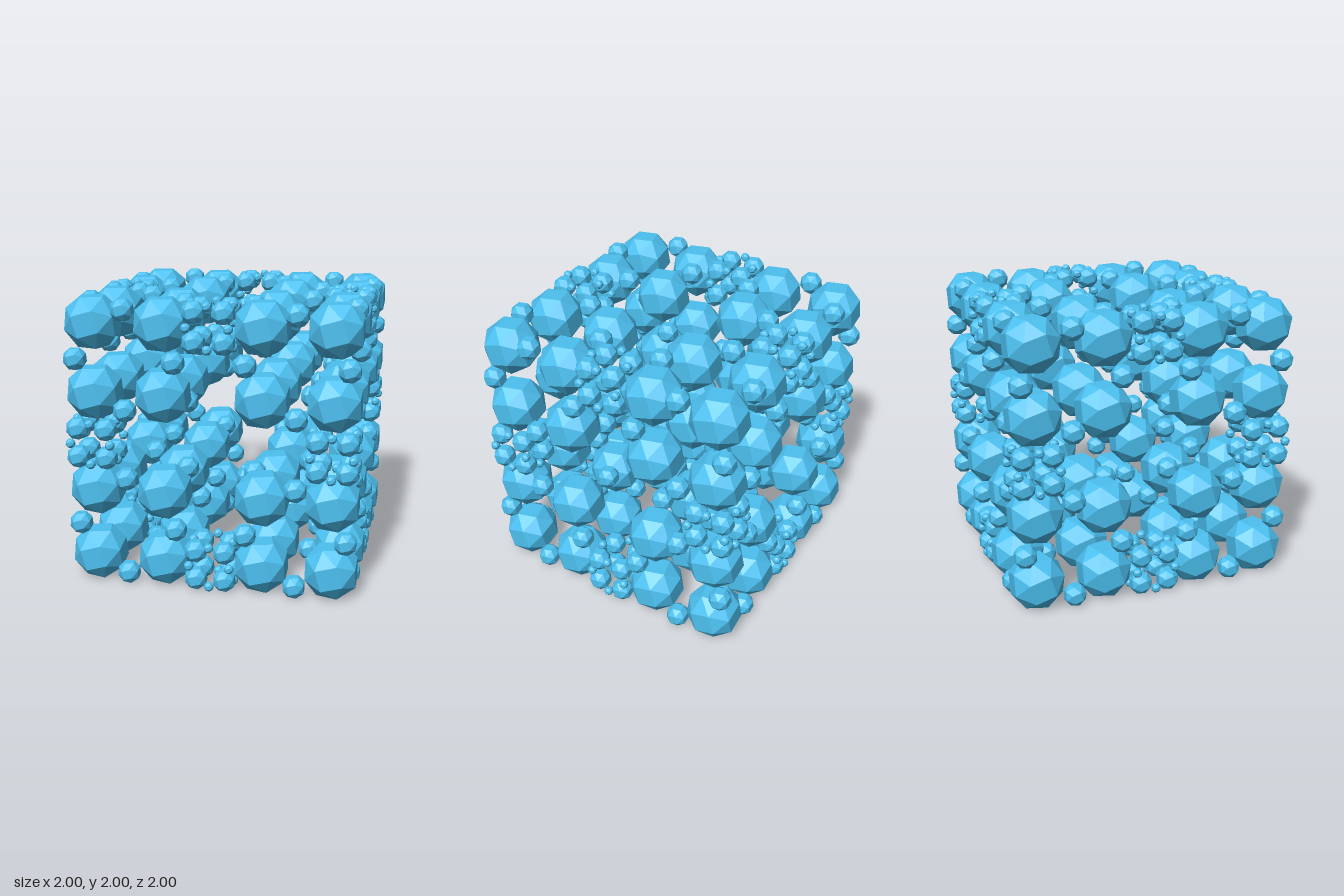
import * as THREE from 'three';
import { ConvexGeometry } from 'three/addons/geometries/ConvexGeometry.js';

const RATIO = Math.SQRT2 - 1; // corner cell side relative to its parent cell

// Snub cube of unit width: the 24 rotations of a single corner point
function snubCube() {
  const t = 1.839287;
  const p = [1 / t, 1, t].map((v) => v / (2 * t));
  const orders = [[0, 1, 2], [1, 2, 0], [2, 0, 1], [1, 0, 2], [0, 2, 1], [2, 1, 0]];
  const points = [];
  orders.forEach((order, i) => {
    const parity = i < 3 ? 1 : -1;
    for (const sx of [-1, 1]) for (const sy of [-1, 1]) {
      const signs = [sx, sy, sx * sy * parity];
      points.push(new THREE.Vector3(...order.map((k, axis) => p[k] * signs[axis])));
    }
  });
  return new ConvexGeometry(points);
}

export function createModel() {
  const geometry = snubCube();
  const material = new THREE.MeshStandardMaterial({ color: 0x4cc0f0, flatShading: true });

  // A cell is one solid, or 8 large corner cells joined by 12 small edge cells
  function cell(name, size, depth) {
    if (depth === 0) {
      const solid = new THREE.Mesh(geometry, material);
      solid.name = name;
      solid.scale.setScalar(size);
      return solid;
    }
    const group = new THREE.Group();
    group.name = name;
    const offset = size * (1 - RATIO) / 2;
    for (const x of [-1, 0, 1]) for (const y of [-1, 0, 1]) for (const z of [-1, 0, 1]) {
      const zeros = [x, y, z].filter((v) => v === 0).length;
      if (zeros > 1) continue;
      const isCorner = zeros === 0;
      const side = size * (isCorner ? RATIO : RATIO * RATIO);
      // Edge cells sit flush with the outer faces of the parent
      const reach = isCorner ? offset : (size - side) / 2;
      const child = cell(isCorner ? 'cornerCell' : 'edgeCell', side, depth - 1);
      child.position.set(x, y, z).multiplyScalar(reach);
      group.add(child);
    }
    return group;
  }

  const model = new THREE.Group();
  model.name = 'snubCubeFractal';
  const lattice = cell('lattice', 2, 2);
  lattice.position.y = 1;
  model.add(lattice);
  return model;
}
